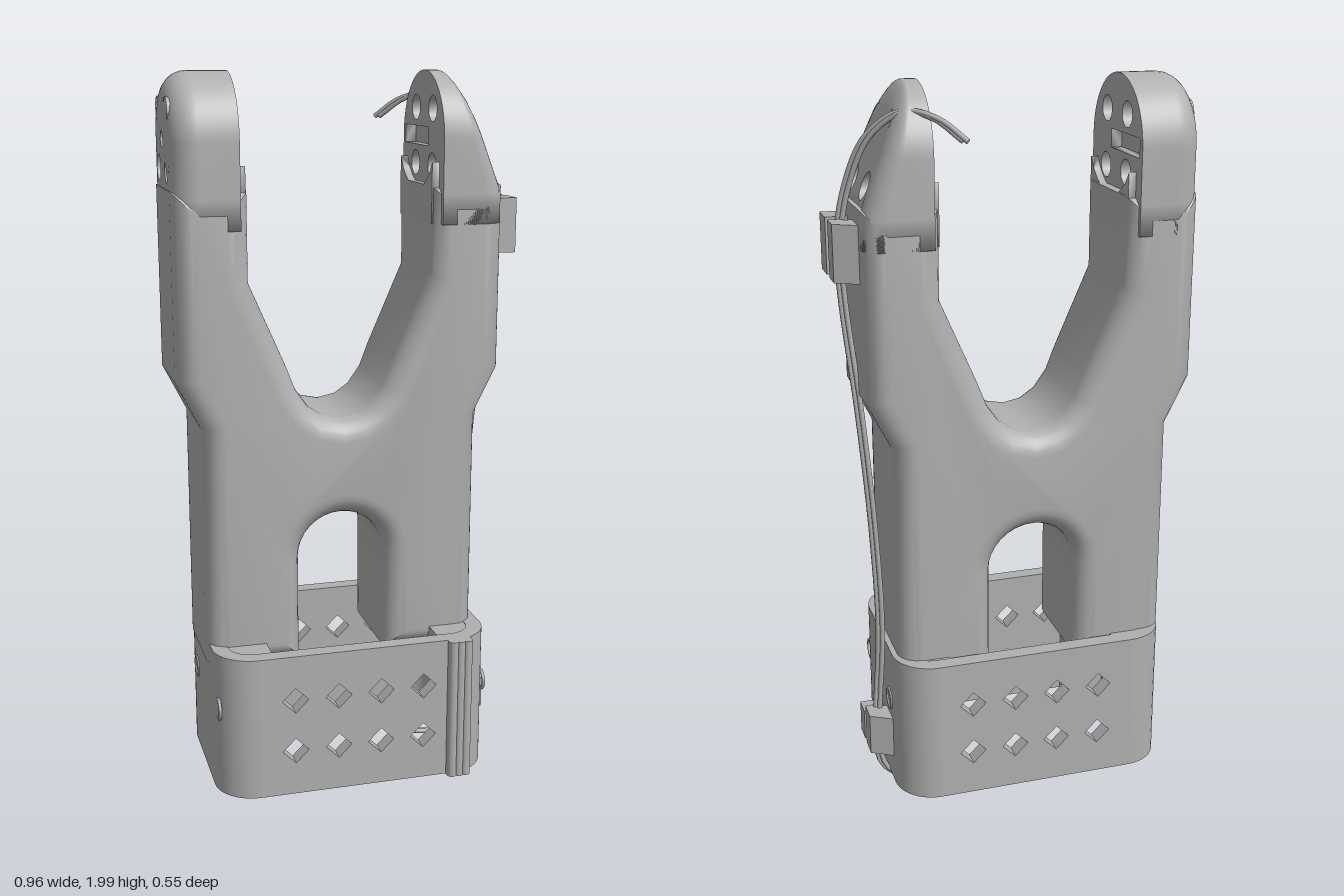
import * as THREE from 'three';
import { toCreasedNormals } from 'three/addons/utils/BufferGeometryUtils.js';

const V2 = (x, y) => new THREE.Vector2(x, y);
const ZC = -0.042, W = 0.178; // middle and half depth of the fork
const CX = -0.03;             // mirror line of the fork

// Open skin through matching closed rings of Vector3
function skin(rings) {
  const n = rings[0].length, pos = [], idx = [];
  rings.forEach(r => r.forEach(p => pos.push(p.x, p.y, p.z)));
  for (let k = 0; k + 1 < rings.length; k++) {
    for (let i = 0; i < n; i++) {
      const j = (i + 1) % n, a = k * n + i, b = k * n + j;
      idx.push(a, b, a + n, b, b + n, a + n);
    }
  }
  const g = new THREE.BufferGeometry();
  g.setAttribute('position', new THREE.Float32BufferAttribute(pos, 3));
  g.setIndex(idx);
  g.computeVertexNormals();
  return g;
}

// Flat face drawn in (z, y), placed at x = xOf(y), with holes
function face(outline, holes, xOf) {
  const s = new THREE.Shape(outline);
  holes.forEach(h => s.holes.push(new THREE.Path(h)));
  const g = new THREE.ShapeGeometry(s).toNonIndexed(), p = g.attributes.position;
  for (let i = 0; i < p.count; i++) {
    const z = p.getX(i), y = p.getY(i);
    p.setXYZ(i, xOf(y), y, z);
  }
  g.computeVertexNormals();
  return g;
}

const circle = (z, y, r, n = 12) => Array.from({ length: n }, (_, i) =>
  V2(z + r * Math.cos(i / n * Math.PI * 2), y + r * Math.sin(i / n * Math.PI * 2)));

export function createModel() {
  const root = new THREE.Group();
  const grey = new THREE.MeshStandardMaterial({ color: 0xb0b0b0, side: THREE.DoubleSide });
  grey.name = 'plainGrey';
  const add = (name, geo, parent = root) => {
    const m = new THREE.Mesh(geo, grey);
    m.name = name;
    parent.add(m);
    return m;
  };
  const box = (name, x0, x1, y0, y1, z0, z1) =>
    add(name, new THREE.BoxGeometry(x1 - x0, y1 - y0, z1 - z0))
      .position.set((x0 + x1) / 2, (y0 + y1) / 2, (z0 + z1) / 2);

  // Fork body: half outline from the arch round to the crotch, then mirrored
  const half = [];
  for (let i = 0; i <= 8; i++) {
    const a = i / 8 * Math.PI / 2;
    half.push([0.122 * Math.sin(a), 0.69 + 0.12 * Math.cos(a)]);
  }
  half.push([0.122, 0.4], [0.385, 0.4], [0.385, 1.07], [0.45, 1.2], [0.45, 1.7], [0.25, 1.7],
    [0.25, 1.46], [0.15, 1.23], [0.125, 1.165], [0.09, 1.115], [0.05, 1.088], [0, 1.078]);
  const outline = half.map(([x, y]) => V2(CX + x, y))
    .concat(half.slice(1, -1).reverse().map(([x, y]) => V2(CX - x, y)));
  const B = 0.06;
  const body = new THREE.ExtrudeGeometry(new THREE.Shape(outline), {
    depth: 2 * (W - B), bevelThickness: B, bevelSize: B, bevelOffset: -B, bevelSegments: 6
  });
  body.translate(0, 0, ZC - W + B);
  add('forkBody', toCreasedNormals(body, 0.45));

  // Arm heads: round-topped, drilled, with a horn slot on the inner face
  const headOutline = inset => {
    const w = W - inset, pts = [V2(ZC + w, 1.6), V2(ZC + w, 1.68)];
    for (let i = 0; i <= 24; i++) {
      const a = i / 24 * Math.PI;
      pts.push(V2(ZC + w * Math.cos(a), 1.822 + w * Math.sin(a)));
    }
    pts.push(V2(ZC - w, 1.68), V2(ZC - w, 1.6));
    return pts;
  };
  const to3 = (pts, xOf) => pts.map(p => new THREE.Vector3(xOf(p.y), p.y, p.x));
  const drill = [];
  for (const z of [0.035, -0.108]) for (const y of [1.9, 1.75]) drill.push(circle(z, y, 0.035));
  const slot = [V2(-0.2, 1.8), V2(0, 1.8), V2(0, 1.85), V2(-0.2, 1.85)];
  const slotCover = [V2(-0.21, 1.79), V2(0.01, 1.79), V2(0.01, 1.86), V2(-0.21, 1.86)];

  function armHead(name, xi, xOut, R, centreHole) {
    const g = new THREE.Group();
    g.name = name;
    root.add(g);
    const s = Math.sign(xi), inner = () => xi, floor = () => xi + s * 0.03;
    const rings = [to3(headOutline(0), inner)];
    for (let k = 0; k <= 6; k++) {
      const a = k / 6 * Math.PI / 2;
      rings.push(to3(headOutline(R * (1 - Math.cos(a))),
        y => xi + (xOut(y) - xi) * (1 - R * (1 - Math.sin(a)) / 0.18)));
    }
    add('headSide', skin(rings), g);
    const centre = centreHole ? [circle(ZC, 1.825, 0.024, 6)] : [];
    add('headOuterFace', face(headOutline(R), [...drill, ...centre], xOut), g);
    add('headInnerFace', face(headOutline(0), [...drill, slot], inner), g);
    drill.forEach(h => add('screwHole', skin([to3(h, inner), to3(h, xOut)]), g));
    centre.forEach(h => add('centreHole', skin([to3(h, floor), to3(h, xOut)]), g));
    slot.forEach((p, i) => {
      const q = slot[(i + 1) % 4];
      add('slotWall', skin([to3([p, q], inner), to3([p, q], floor)]), g);
    });
    add('slotFloor', face(slotCover, [], floor), g);

    // Raised lip below the round seat
    const lip = [V2(ZC - 0.14, 1.6)];
    for (let i = 0; i <= 12; i++) {
      const z = -0.14 + i / 12 * 0.28;
      lip.push(V2(ZC + z, 1.83 - Math.sqrt(0.165 ** 2 - z * z) + 0.02));
    }
    lip.push(V2(ZC + 0.14, 1.6));
    const lipX = () => xi - s * 0.02;
    add('seatLip', face(lip, [], lipX), g);
    add('seatLipEdge', skin([to3(lip, inner), to3(lip, lipX)]), g);
  }
  armHead('rightArmHead', -0.305, () => -0.478, 0.07, true);
  armHead('leftArmHead', 0.24, y => 0.42 - 0.4 * Math.max(0, y - 1.68), 0.06, false);

  // Sleeve: front and back panels pierced by diamonds
  const panel = new THREE.Shape([V2(-0.3, 0.05), V2(0.26, 0.05), V2(0.26, 0.46), V2(-0.3, 0.46)]);
  for (const x of [-0.2, -0.077, 0.045, 0.168]) {
    for (const y of [0.18, 0.33]) panel.holes.push(new THREE.Path(circle(x, y, 0.037, 4)));
  }
  for (const [name, z] of [['sleeveFront', 0.205], ['sleeveBack', -0.275]]) {
    add(name, new THREE.ExtrudeGeometry(panel, { depth: 0.045, bevelEnabled: false })).position.z = z;
  }

  // Sleeve ends with rounded corners, top lids and screw bosses
  for (const s of [1, -1]) {
    const pts = [];
    const arc = (zc, r, a0, a1) => {
      for (let i = 0; i <= 10; i++) {
        const a = a0 + (a1 - a0) * i / 10;
        pts.push(V2(-0.02 + s * (0.28 + r * Math.cos(a)), zc + r * Math.sin(a)));
      }
    };
    const q = Math.PI / 2;
    arc(0.14, 0.11, q, 0);
    arc(-0.165, 0.11, 0, -q);
    arc(-0.165, 0.065, -q, 0);
    arc(0.14, 0.065, 0, q);
    const end = new THREE.ExtrudeGeometry(new THREE.Shape(pts), { depth: 0.41, bevelEnabled: false });
    end.rotateX(Math.PI / 2).translate(0, 0.46, 0);
    add('sleeveEnd', toCreasedNormals(end, 0.5));
    for (const [z, r] of [[0.18, 0.342 + 0.04], [-0.12, 0.39]]) {
      const ring = add('screwRing', new THREE.TorusGeometry(0.028, 0.005, 6, 20));
      ring.rotation.y = Math.PI / 2;
      ring.position.set(-0.02 + s * r, 0.3, z);
    }
  }
  box('rightLid', -0.37, -0.255, 0.4, 0.458, -0.24, 0.215);
  box('leftLid', 0.22, 0.33, 0.4, 0.458, -0.24, 0.215);
  box('cornerBlock', -0.37, -0.255, 0.052, 0.458, 0.12, 0.215);
  box('latchTab', 0.22, 0.3, 0.052, 0.458, 0.155, 0.22);

  // Grip ribs on the front
  for (const x of [0.252, 0.272, 0.292]) {
    add('gripRib', new THREE.CylinderGeometry(0.014, 0.014, 0.41, 12)).position.set(x, 0.255, 0.261);
    box('gripRibBase', x - 0.014, x + 0.014, 0.05, 0.46, 0.235, 0.261);
  }

  // Cable clips: paired blocks, the rear one with a sloped back
  const clip = (name, x, y0, y1, pts) => {
    const g = new THREE.ExtrudeGeometry(new THREE.Shape(pts.map(([dx, z]) => V2(x + dx, z))),
      { depth: y1 - y0, bevelEnabled: false });
    add(name, g.rotateX(Math.PI / 2).translate(0, y1, 0));
  };
  const rear = [[-0.02, -0.16], [0.06, -0.115], [0.06, -0.055], [0.03, -0.055], [0.02, -0.07], [-0.02, -0.07]];
  const front = [[-0.02, -0.01], [0.02, -0.01], [0.03, -0.02], [0.06, -0.02], [0.06, 0.055], [-0.02, 0.055]];
  clip('upperClipRear', 0.42, 1.51, 1.66, rear);
  clip('upperClipFront', 0.42, 1.51, 1.66, front);
  clip('lowerClipRear', 0.37, 0.13, 0.25, rear.map(([x, z]) => [x, z - 0.005]));
  clip('lowerClipFront', 0.37, 0.13, 0.22, front.map(([x, z]) => [x, z * 0.75 - 0.025]));

  // Cable: two thin strands side by side
  const path = [[0.17, 1.87, -0.255], [0.23, 1.92, -0.21], [0.3, 1.935, -0.155], [0.38, 1.87, -0.1],
    [0.43, 1.74, -0.06], [0.452, 1.6, -0.045], [0.447, 1.45, -0.05], [0.42, 1.15, -0.078],
    [0.395, 0.8, -0.09], [0.385, 0.5, -0.088], [0.395, 0.28, -0.075], [0.402, 0.17, -0.075],
    [0.385, 0.06, -0.08], [0.33, 0.017, -0.085], [0.27, 0.018, -0.085], [0.21, 0.033, -0.08]];
  for (const d of [-0.005, 0.005]) {
    const curve = new THREE.CatmullRomCurve3(path.map(p => new THREE.Vector3(p[0] + d, p[1], p[2] + d)));
    add('cableStrand', new THREE.TubeGeometry(curve, 90, 0.007, 8));
  }
  return root;
}
